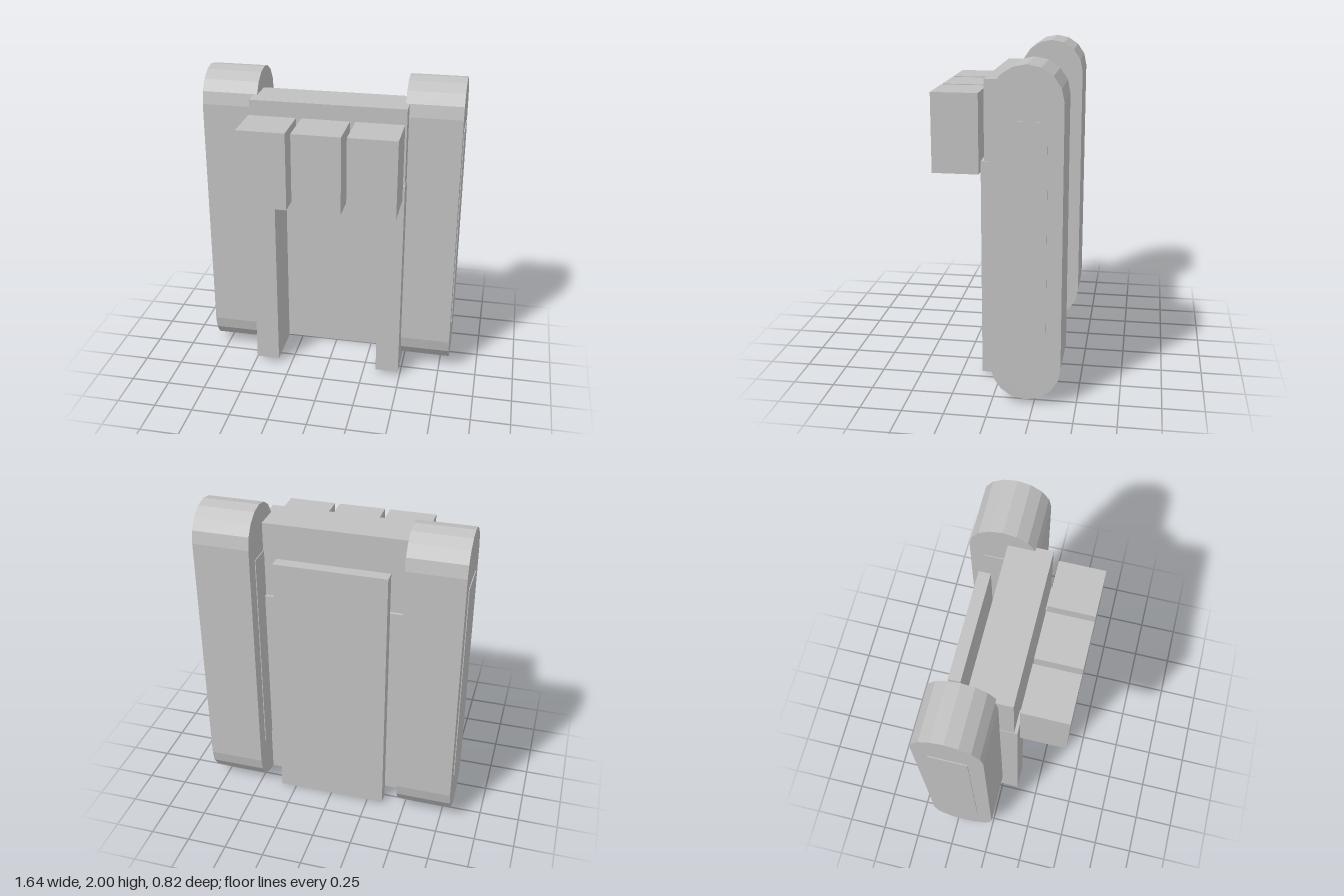
import * as THREE from 'three';

export function createModel() {
  const grey = new THREE.MeshStandardMaterial({ color: 0xc0c0c0 });
  grey.name = 'grey';
  const model = new THREE.Group();
  model.name = 'backpack';

  // Box given by its lower and upper limits on each axis
  function box(name, [x0, x1], [y0, y1], [z0, z1]) {
    const mesh = new THREE.Mesh(new THREE.BoxGeometry(x1 - x0, y1 - y0, z1 - z0), grey);
    mesh.position.set((x0 + x1) / 2, (y0 + y1) / 2, (z0 + z1) / 2);
    mesh.name = name;
    model.add(mesh);
  }

  // Capsule outline of a side pod, seen from the side
  const radius = 0.206, podZ = -0.202, bottom = 0.03, top = 2, arcSteps = 8;
  const outline = [];
  for (const [centreY, start] of [[top - radius, 0], [bottom + radius, Math.PI]]) {
    for (let i = 0; i <= arcSteps; i++) {
      const a = start + (i / arcSteps) * Math.PI;
      outline.push(new THREE.Vector2(radius * Math.cos(a), centreY + radius * Math.sin(a)));
    }
  }
  const inner = 0.462, outer = 0.813;
  const podGeometry = new THREE.ExtrudeGeometry(new THREE.Shape(outline), {
    depth: outer - inner, bevelEnabled: false,
  });
  podGeometry.translate(0, 0, -(outer - inner) / 2).rotateY(Math.PI / 2);

  for (const [side, s] of [['left', 1], ['right', -1]]) {
    const span = (a, b) => (s > 0 ? [a, b] : [-b, -a]);

    // Rounded pod with a thin raised panel on both flat faces
    const pod = new THREE.Mesh(podGeometry, grey);
    pod.position.set(s * (inner + outer) / 2, 0, podZ);
    pod.name = side + 'Pod';
    model.add(pod);
    box(side + 'OuterPanel', span(outer - 0.002, outer + 0.005), [0.34, 1.69], [-0.32, -0.09]);
    box(side + 'InnerPanel', span(inner - 0.005, inner + 0.002), [0.34, 1.69], [-0.32, -0.09]);

    // Upright beside the pod
    box(side + 'Upright', span(0.337, 0.489), [0.03, 1.385], [-0.195, 0.112]);
  }

  // Crossbar between the pods and the separate back plate
  box('crossbar', [-0.486, 0.486], [1.255, 1.87], [-0.175, 0.092]);
  box('backPlate', [-0.352, 0.35], [0, 1.685], [-0.328, -0.253]);

  // Row of three front boxes
  for (let i = -1; i <= 1; i++) {
    const x = i * 0.331 - 0.002;
    box('frontBox' + (i + 2), [x - 0.149, x + 0.149], [1.3, 1.785], [0.127, 0.411]);
  }
  return model;
}
